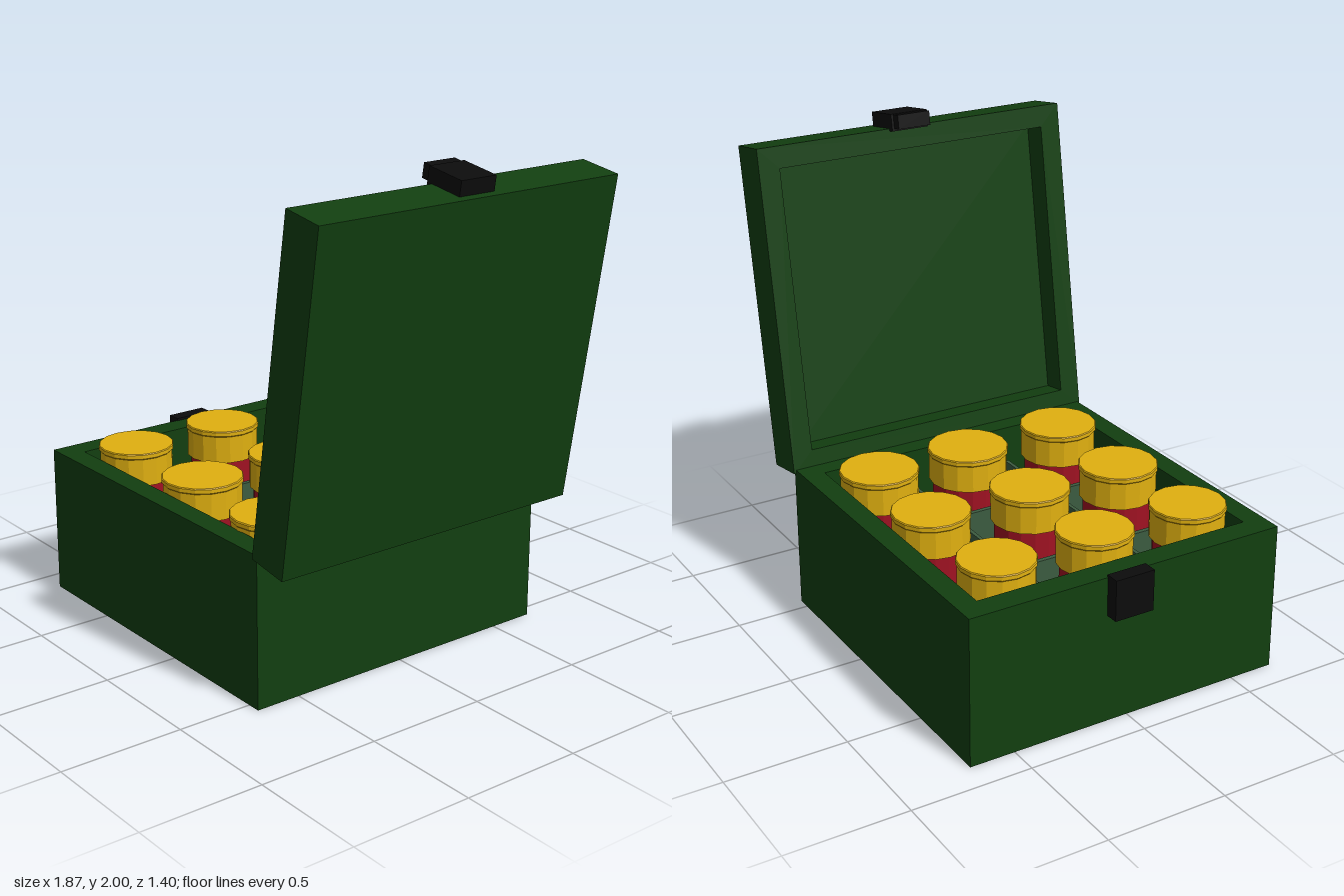
import * as THREE from 'three';

const mat = (color, extra = {}) => new THREE.MeshStandardMaterial({ color, ...extra });
const green = mat(0x123f10);
const black = mat(0x0c0c0c);
const yellow = mat(0xe0b010, { flatShading: true });
const red = mat(0xa01222, { flatShading: true });
const dividerMat = mat(0x3c5c40);

function add(parent, name, geometry, material, x = 0, y = 0, z = 0) {
  const mesh = new THREE.Mesh(geometry, material);
  mesh.name = name;
  mesh.position.set(x, y, z);
  parent.add(mesh);
  return mesh;
}

// Box given by its minimum and maximum corners
function block(parent, name, material, [x0, y0, z0], [x1, y1, z1]) {
  return add(parent, name, new THREE.BoxGeometry(x1 - x0, y1 - y0, z1 - z0), material,
    (x0 + x1) / 2, (y0 + y1) / 2, (z0 + z1) / 2);
}

// Extruded rectangular frame: outer and inner are [x0, y0, x1, y1]
function frame(outer, inner, depth) {
  const corners = ([x0, y0, x1, y1]) => [[x0, y0], [x1, y0], [x1, y1], [x0, y1]]
    .map(([x, y]) => new THREE.Vector2(x, y));
  const shape = new THREE.Shape(corners(outer));
  shape.holes.push(new THREE.Path(corners(inner).reverse()));
  return new THREE.ExtrudeGeometry(shape, { depth, bevelEnabled: false });
}

// Capped jar: red body standing on the floor with a stepped, faceted lid
function jar(parent, x, z, r, top) {
  const g = new THREE.Group();
  g.name = 'jar';
  g.position.set(x, 0, z);
  const bodyHeight = top - 0.13 - 0.08;
  add(g, 'jarBody', new THREE.CylinderGeometry(r * 0.88, r * 0.88, bodyHeight, 16), red, 0, 0.08 + bodyHeight / 2);
  const profile = [[0, -0.14], [r * 0.97, -0.14], [r * 0.97, -0.025], [r, -0.02], [r, -0.004], [r * 0.98, 0], [0, 0]]
    .map(([a, b]) => new THREE.Vector2(a, b));
  add(g, 'jarCap', new THREE.LatheGeometry(profile, 16), yellow, 0, top);
  parent.add(g);
}

export function createModel() {
  const model = new THREE.Group();
  model.name = 'openCase';

  // Lower case
  const walls = frame([-0.88, -0.69, 0.555, 0.69], [-0.78, -0.6, 0.46, 0.6], 0.62);
  walls.rotateX(-Math.PI / 2);
  add(model, 'caseWalls', walls, green);
  block(model, 'caseFloor', green, [-0.8, 0.002, -0.62], [0.48, 0.08, 0.62]);

  // Dividers forming a three by three tray
  for (const x of [-0.4, 0.095]) block(model, 'crossDivider', dividerMat, [x - 0.01, 0.08, -0.6], [x + 0.01, 0.47, 0.6]);
  for (const z of [-0.21, 0.255]) block(model, 'longDivider', dividerMat, [-0.78, 0.08, z - 0.008], [0.43, 0.48, z + 0.008]);

  // Jars: x, z, radius, top height
  const jars = [
    [-0.6, -0.41, 0.155, 0.665], [-0.135, -0.43, 0.16, 0.665], [0.31, -0.425, 0.165, 0.66],
    [-0.615, 0.015, 0.155, 0.68], [-0.155, 0.01, 0.165, 0.668], [0.315, -0.005, 0.17, 0.66],
    [-0.615, 0.45, 0.155, 0.675], [-0.155, 0.435, 0.165, 0.665], [0.32, 0.445, 0.165, 0.66],
  ];
  jars.forEach((j) => jar(model, ...j));

  // Latch plate on the case and hinge strip behind it
  block(model, 'caseLatch', black, [-0.935, 0.46, -0.1], [-0.875, 0.63, 0.07]);
  block(model, 'hinge', green, [0.54, 0.54, -0.25], [0.565, 0.61, 0.285]);

  // Open lid, leaning back about its lower inner edge
  const lid = new THREE.Group();
  lid.name = 'lid';
  lid.position.set(0.54, 0.605, 0);
  lid.rotation.z = -0.157;
  const rim = frame([-0.7, 0, 0.7, 1.345], [-0.61, 0.085, 0.61, 1.255], 0.11);
  rim.rotateY(Math.PI / 2);
  add(lid, 'lidRim', rim, green);
  block(lid, 'lidPanel', green, [0.11, 0, -0.7], [0.182, 1.345, 0.7]);
  block(lid, 'lidLatchBase', black, [-0.025, 1.335, -0.11], [0.147, 1.405, 0.055]);
  block(lid, 'lidLatchLip', black, [-0.065, 1.345, -0.1], [-0.025, 1.403, 0.045]);
  model.add(lid);

  return model;
}
